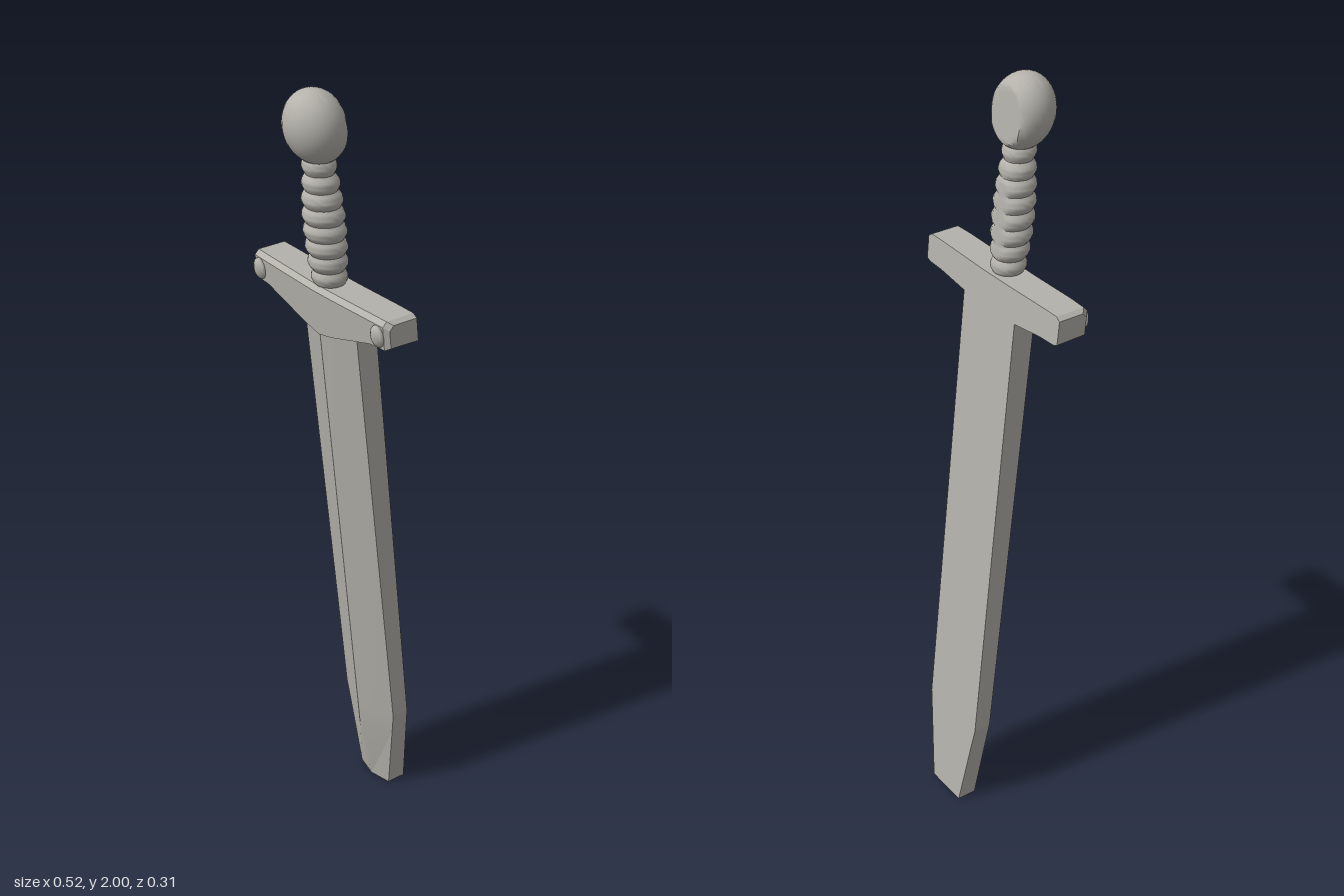
import * as THREE from 'three';
import { toCreasedNormals } from 'three/addons/utils/BufferGeometryUtils.js';

const steel = new THREE.MeshStandardMaterial({ color: 0xb4b2ab });
steel.name = 'grey steel';

// Lean the sword: depth is measured from a flat back plane that slopes with height.
function finish(name, geo, crease, flatBack = 0) {
  const p = geo.attributes.position;
  for (let i = 0; i < p.count; i++) {
    const d = Math.max(p.getZ(i), flatBack);
    p.setZ(i, d + 0.1 * p.getY(i) - 0.155);
  }
  const mesh = new THREE.Mesh(toCreasedNormals(geo, crease), steel);
  mesh.name = name;
  return mesh;
}

// Join equal-sized cross-section loops and cap both ends.
function loft(loops) {
  const n = loops[0].length, index = [];
  for (let s = 0; s < loops.length - 1; s++) {
    for (let i = 0; i < n; i++) {
      const a = s * n + i, b = s * n + (i + 1) % n;
      index.push(a, b, b + n, a, b + n, a + n);
    }
  }
  const last = (loops.length - 1) * n;
  for (let i = 1; i < n - 1; i++) {
    index.push(0, i + 1, i, last, last + i, last + i + 1);
  }
  const geo = new THREE.BufferGeometry();
  geo.setAttribute('position', new THREE.Float32BufferAttribute(loops.flat(2), 3));
  geo.setIndex(index);
  return geo;
}

export function createModel() {
  const sword = new THREE.Group();
  sword.name = 'sword';

  // Blade: flat back, square sides and a raised centre ridge; [y, half width, side depth, ridge depth]
  const blade = [
    [0, 0.06, 0.052, 0.065], [0.2, 0.092, 0.048, 0.086],
    [0.26, 0.102, 0.047, 0.086], [1.46, 0.102, 0.058, 0.09],
  ].map(([y, w, side, ridge]) => [
    [-w, y, 0], [-w, y, side], [0, y, ridge], [w, y, side], [w, y, 0],
  ]);
  sword.add(finish('blade', loft(blade), 0.15));

  // Crossguard: sections along x; [x, top, bottom at front, bottom at back, front depth]
  const half = [
    [0, 1.525, 1.4, 1.43, 0.093], [0.05, 1.525, 1.41, 1.437, 0.092],
    [0.2, 1.528, 1.455, 1.455, 0.09], [0.25, 1.528, 1.457, 1.457, 0.088],
    [0.262, 1.52, 1.464, 1.462, 0.078],
  ];
  const mirrored = half.slice(1).reverse().map(([x, ...r]) => [-x, ...r]);
  const guard = [...mirrored, ...half].map(([x, top, low, lowBack, f]) => [
    [x, lowBack, 0], [x, top, -0.004], [x, top, f - 0.012], [x, top - 0.012, f], [x, low, f],
  ]);
  sword.add(finish('crossguard', loft(guard), 0.5));

  // Small studs on the front of the guard ends
  for (const side of [-1, 1]) {
    const stud = new THREE.SphereGeometry(1, 12, 8);
    stud.scale(0.022, 0.028, 0.013);
    stud.translate(side * 0.23, 1.487, 0.09);
    sword.add(finish(side > 0 ? 'leftStud' : 'rightStud', stud, 1.2));
  }

  // Grip: wrapped ridges on a swelling handle
  const ridges = 8, y0 = 1.52, y1 = 1.84, profile = [];
  for (let i = 0; i <= ridges * 6; i++) {
    const t = i / (ridges * 6);
    const swell = 0.041 + 0.011 * Math.sin(Math.PI * Math.min(1, t * 1.1));
    const wrap = Math.abs(Math.sin(Math.PI * ridges * t));
    profile.push(new THREE.Vector2(swell - 0.009 * (1 - wrap), y0 + (y1 - y0) * t));
  }
  const grip = new THREE.LatheGeometry(profile, 24);
  grip.translate(0, 0, 0.047);
  sword.add(finish('grip', grip, 1.0, 0.006));

  // Pommel: egg-shaped ball with a flat back
  const pommel = new THREE.SphereGeometry(1, 32, 24);
  pommel.scale(0.077, 0.088, 0.074);
  pommel.translate(0, 1.912, 0.047);
  sword.add(finish('pommel', pommel, 0.6));

  return sword;
}
